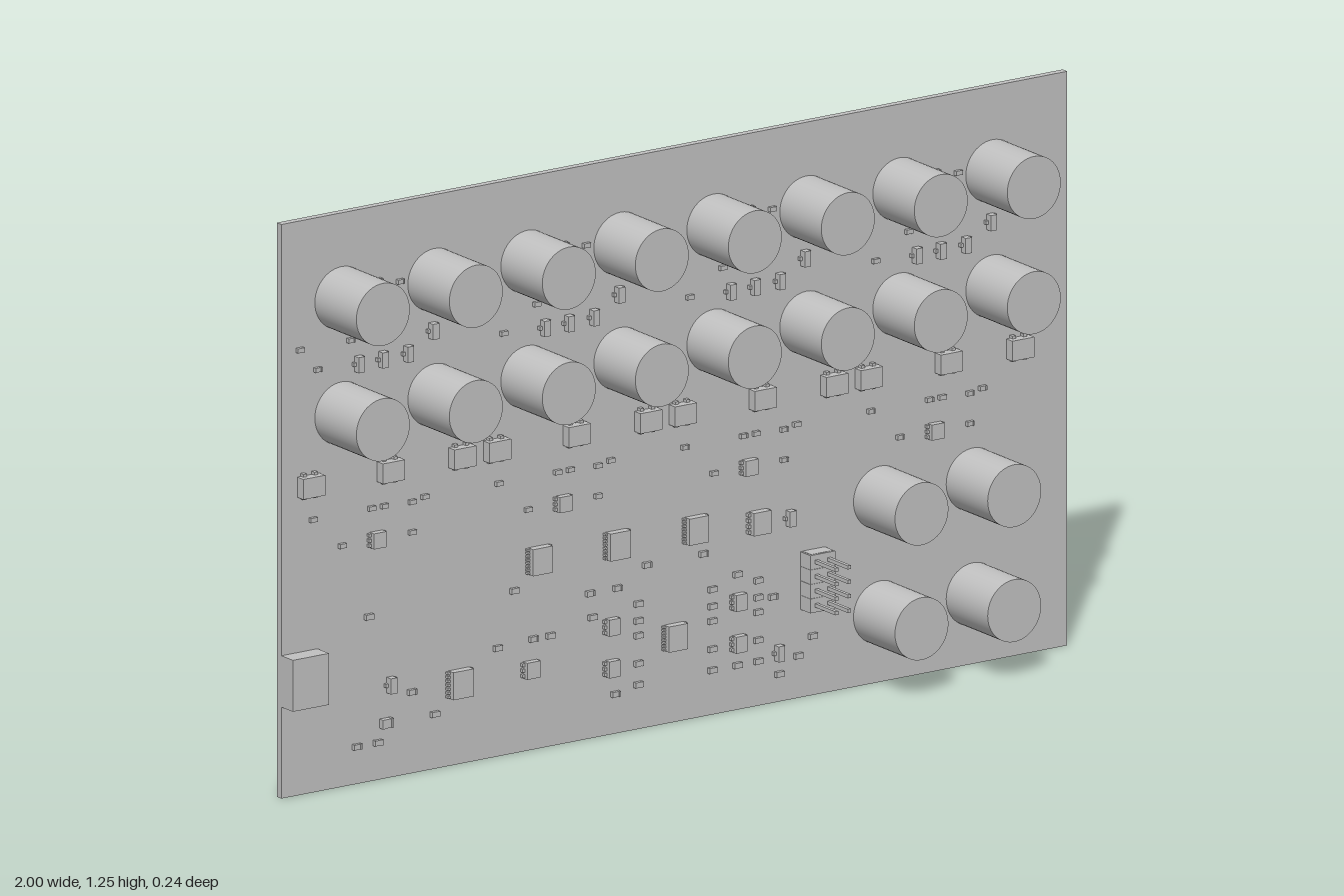
import * as THREE from 'three';

const grey = new THREE.MeshStandardMaterial({ color: 0xc0c0c0 });
grey.name = 'grey';

const FRONT = -0.03; // front surface of the board
const BACK = -0.047; // back surface of the board

export function createModel() {
  const model = new THREE.Group();
  model.name = 'circuitBoard';

  const add = (parent, name, geometry, x, y, z) => {
    const mesh = new THREE.Mesh(geometry, grey);
    mesh.name = name;
    mesh.position.set(x, y, z);
    parent.add(mesh);
    return mesh;
  };
  // box spanning z0..z1
  const block = (parent, name, x, y, w, h, z0, z1) =>
    add(parent, name, new THREE.BoxGeometry(w, h, z1 - z0), x, y, (z0 + z1) / 2);
  // cylinder or prism along z, spanning z0..z1
  const rod = (r, z0, z1, sides, spin = 0) => {
    const g = new THREE.CylinderGeometry(r, r, z1 - z0, sides);
    g.rotateY(spin).rotateX(Math.PI / 2).translate(0, 0, (z0 + z1) / 2);
    return g;
  };

  block(model, 'board', 0, 0.625, 2, 1.25, BACK, FRONT);

  // Jack sockets: round body in front, hex nut and threaded stud behind
  const jackBody = rod(0.068, FRONT, 0.122, 48);
  const nut = rod(0.071, -0.11, BACK, 6, Math.PI / 2).toNonIndexed();
  nut.computeVertexNormals();
  const stud = rod(0.035, -0.122, -0.1, 32);
  const jack = (x, y) => {
    const g = new THREE.Group();
    g.name = 'jack';
    g.position.set(x, y, 0);
    add(g, 'jackBody', jackBody, 0, 0, 0);
    add(g, 'hexNut', nut, 0, 0, 0);
    add(g, 'stud', stud, 0, 0, 0);
    model.add(g);
  };
  for (let i = 0; i < 8; i++) {
    for (const y of [1.065, 0.814]) jack(-0.847 + i * 0.2367, y);
  }
  for (const x of [0.524, 0.76]) for (const y of [0.402, 0.152]) jack(x, y);

  // Power socket on the board edge
  block(model, 'powerSocket', -0.954, 0.255, 0.092, 0.112, FRONT, 0.012);

  // Pin header, pins pass through the board
  const header = new THREE.Group();
  header.name = 'pinHeader';
  model.add(header);
  for (let r = 0; r < 4; r++) {
    const y = 0.207 + r * 0.0315;
    block(header, 'headerBody', 0.353, y, 0.064, 0.031, FRONT, 0.006);
    block(header, 'headerSpacer', 0.353, y, 0.054, 0.0325, FRONT, 0.002);
    for (const x of [0.337, 0.369]) block(header, 'pin', x, y, 0.008, 0.008, -0.065, 0.08);
  }

  // Chip with a row of leads on two opposite sides
  const chip = (x, y, w, h, depth, leads, upright) => {
    const g = new THREE.Group();
    g.name = 'chip';
    g.position.set(x, y, 0);
    const long = upright ? h : w, across = upright ? w : h;
    const bw = upright ? w - 0.012 : w, bh = upright ? h : h - 0.012;
    block(g, 'chipBody', 0, 0, bw, bh, FRONT + 0.002, FRONT + depth);
    for (let i = 0; i < leads; i++) {
      const t = ((i + 0.5) / leads - 0.5) * long;
      const size = Math.min(0.009, (long / leads) * 0.6);
      for (const s of [-1, 1]) {
        const e = s * (across / 2 - 0.005);
        if (upright) block(g, 'lead', e, t, 0.01, size, FRONT, FRONT + depth * 0.45);
        else block(g, 'lead', t, e, size, 0.01, FRONT, FRONT + depth * 0.45);
      }
    }
    model.add(g);
  };
  // Passive part: body with an end cap on either side
  const passive = (x, y, w = 0.017, h = 0.01, depth = 0.009) => {
    block(model, 'passive', x, y, w * 0.6, h * 0.96, FRONT, FRONT + depth * 0.9);
    for (const s of [-1, 1]) block(model, 'endCap', x + s * w * 0.4, y, w * 0.2, h, FRONT, FRONT + depth);
  };
  // Small transistor: narrow body with leads left and right
  const transistor = (x, y) => {
    block(model, 'transistor', x, y, 0.016, 0.034, FRONT + 0.001, FRONT + 0.017);
    block(model, 'lead', x - 0.01, y, 0.008, 0.008, FRONT, FRONT + 0.008);
    for (const s of [-1, 1]) block(model, 'lead', x + 0.01, y + s * 0.011, 0.008, 0.008, FRONT, FRONT + 0.008);
  };

  // Four identical input channels
  for (let c = 0; c < 4; c++) {
    const dx = c * 0.4733;
    for (const x of [-0.933, -0.73, -0.548]) chip(x + dx, 0.672, 0.056, 0.056, 0.024, 2, false);
    for (const [x, y] of [[-0.807, 0.916], [-0.746, 0.916], [-0.682, 0.918], [-0.618, 0.957]]) transistor(x + dx, y);
    chip(-0.76 + dx, 0.526, 0.044, 0.034, 0.017, 3, true);
    passive(-0.757 + dx, 1.081, 0.016, 0.025, 0.014);
    for (const [x, y] of [
      [-0.7, 1.077], [-0.955, 0.97], [-0.826, 0.97], [-0.91, 0.92],
      [-0.922, 0.595], [-0.773, 0.595], [-0.741, 0.595], [-0.67, 0.592], [-0.638, 0.598],
      [-0.848, 0.526], [-0.67, 0.526],
    ]) passive(x + dx, y);
  }

  // Larger chips: x, y, width, height, depth, leads
  for (const [x, y, w, h, d, n] of [
    [-0.348, 0.413, 0.062, 0.058, 0.02, 8], [-0.15, 0.413, 0.064, 0.06, 0.02, 8],
    [0.05, 0.413, 0.062, 0.058, 0.02, 8], [0.211, 0.402, 0.056, 0.05, 0.02, 4],
    [-0.003, 0.188, 0.06, 0.056, 0.02, 8], [-0.55, 0.178, 0.064, 0.06, 0.02, 7],
    [-0.369, 0.178, 0.046, 0.036, 0.017, 3], [-0.163, 0.237, 0.04, 0.036, 0.017, 3],
    [-0.163, 0.146, 0.04, 0.036, 0.017, 3], [0.16, 0.237, 0.04, 0.036, 0.017, 3],
    [0.16, 0.146, 0.04, 0.036, 0.017, 3],
  ]) chip(x, y, w, h, d, n, true);

  for (const [x, y] of [[0.291, 0.397], [0.262, 0.108], [-0.725, 0.203]]) transistor(x, y);
  passive(-0.737, 0.122, 0.028, 0.02, 0.014);

  // Scattered passives around the lower chips
  for (const [x, y] of [
    [-0.78, 0.36], [-0.41, 0.355], [-0.072, 0.355], [0.072, 0.355],
    [-0.81, 0.082], [-0.757, 0.082], [-0.67, 0.178], [-0.612, 0.12], [-0.452, 0.237],
    [-0.361, 0.242], [-0.318, 0.242], [-0.217, 0.317], [-0.147, 0.317], [-0.211, 0.264],
    [-0.152, 0.087], [0.158, 0.296], [0.158, 0.098], [0.249, 0.232],
    [0.265, 0.061], [0.313, 0.093], [0.35, 0.13],
  ]) passive(x, y, 0.02, 0.012);
  for (const x of [-0.094, 0.094, 0.211]) {
    for (const y of [0.274, 0.237, 0.205, 0.144, 0.098]) passive(x, y, 0.02, 0.012);
  }

  return model;
}
